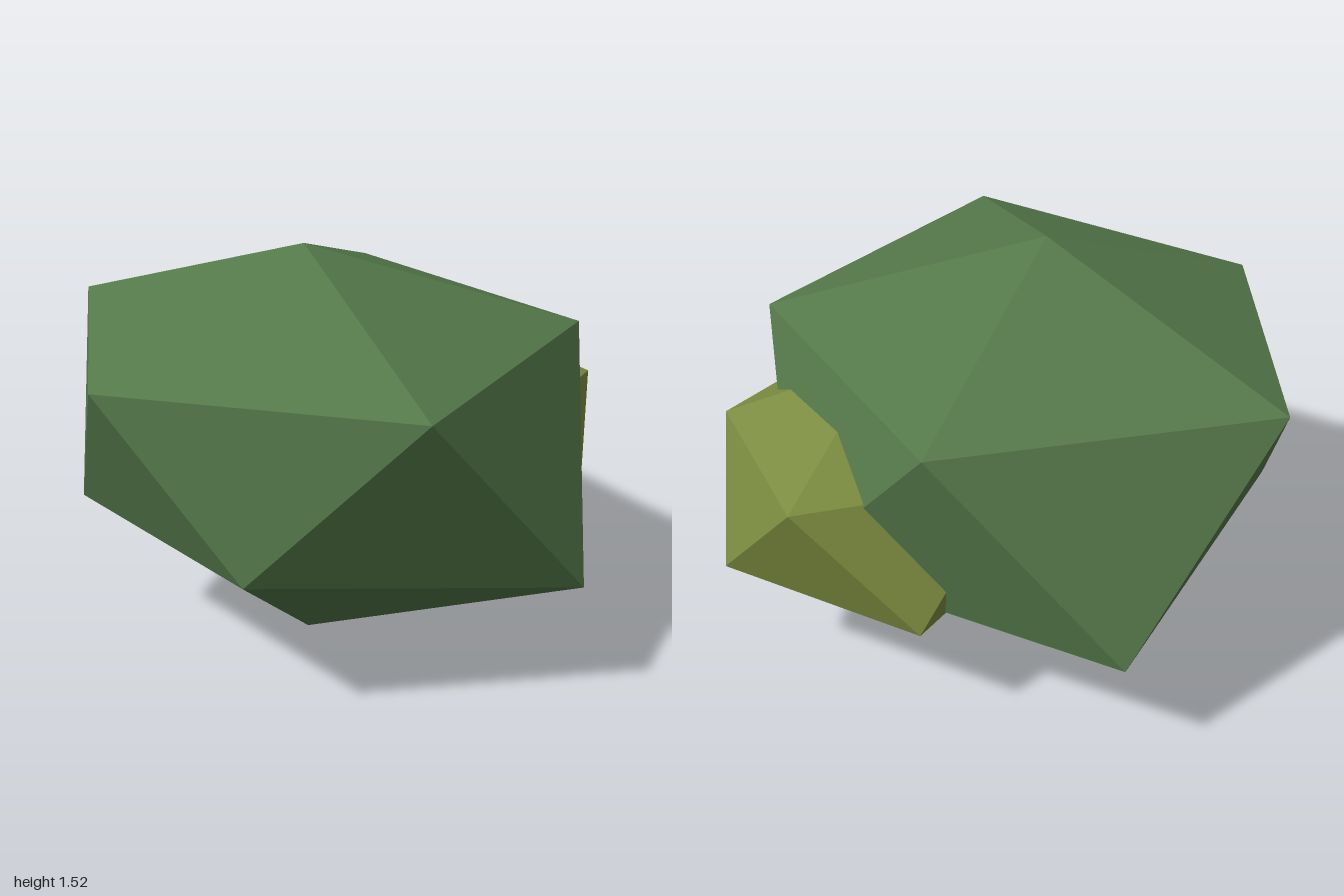
import * as THREE from 'three';

// Irregular twenty-sided clump: two poles and two staggered rings of five [radius, height]
function clump(name, material, [cx, cz], topY, bottomY, upper, lower) {
  const ring = (list, offset) => list.map(([r, y], i) => {
    const a = (i + offset) * Math.PI * 2 / 5;
    return [cx + r * Math.cos(a), y, cz + r * Math.sin(a)];
  });
  const top = [cx, topY, cz], bottom = [cx, bottomY, cz];
  const u = ring(upper, 0), l = ring(lower, 0.5);
  const points = [];
  for (let i = 0; i < 5; i++) {
    const j = (i + 1) % 5;
    points.push(
      top, u[j], u[i],
      u[i], u[j], l[i],
      l[i], u[j], l[j],
      l[i], l[j], bottom
    );
  }
  const geometry = new THREE.BufferGeometry();
  geometry.setAttribute('position', new THREE.Float32BufferAttribute(points.flat(), 3));
  geometry.computeVertexNormals();
  const mesh = new THREE.Mesh(geometry, material);
  mesh.name = name;
  return mesh;
}

export function createModel() {
  const leafGreen = new THREE.MeshStandardMaterial({ color: 0x55794a, flatShading: true });
  leafGreen.name = 'leaf green';
  const oliveGreen = new THREE.MeshStandardMaterial({ color: 0x7c8c40, flatShading: true });
  oliveGreen.name = 'olive green';

  const model = new THREE.Group();
  model.name = 'bush';

  // Main body of foliage
  model.add(clump('mainFoliage', leafGreen, [-0.15, 0.02], 1.52, 0,
    [[0.99, 1.21], [1.03, 1.22], [0.89, 1.18], [1.0, 1.21], [1.0, 1.22]],
    [[1.11, 0.48], [0.81, 0.59], [0.82, 0.59], [1.08, 0.5], [1.02, 0.52]]));

  // Smaller clump growing out of the back left
  model.add(clump('sideFoliage', oliveGreen, [0.4, -0.25], 1.16, 0.26,
    [[0.56, 0.92], [0.6, 0.93], [0.6, 0.93], [0.6, 0.93], [0.65, 0.94]],
    [[0.58, 0.53], [0.6, 0.53], [0.6, 0.53], [0.68, 0.5], [0.63, 0.52]]));

  return model;
}
